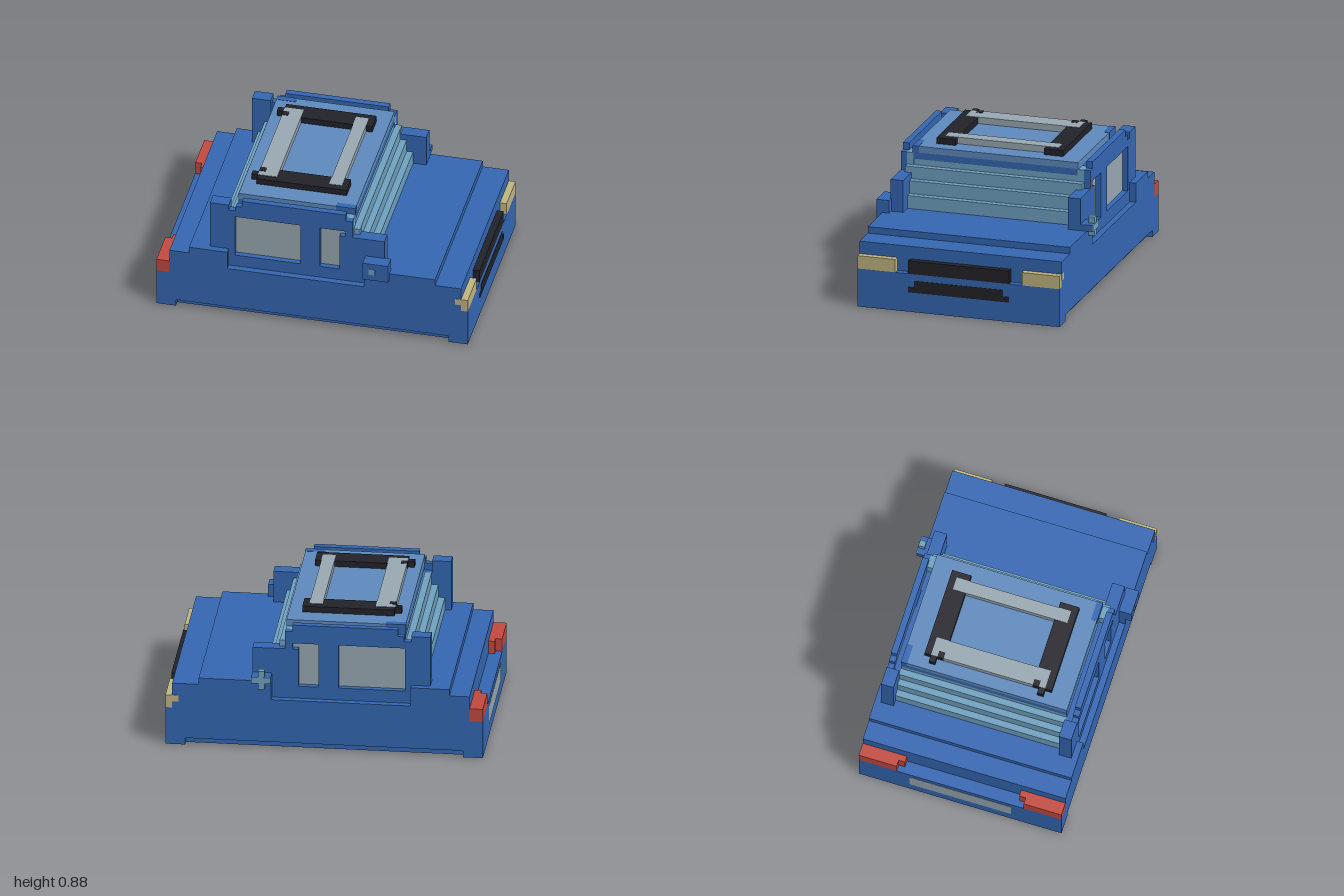
import * as THREE from 'three';

const mat = (name, color) => {
  const m = new THREE.MeshStandardMaterial({ color });
  m.name = name;
  return m;
};
const blue = mat('body blue', 0x3568b4);
const roofBlue = mat('roof blue', 0x5f8cc0);
const glassBlue = mat('screen blue', 0x70a3c3);
const grey = mat('window grey', 0x9aaab4);
const black = mat('trim black', 0x22222a);
const cream = mat('lamp cream', 0xc2b882);
const red = mat('lamp red', 0xc54a40);

export function createModel() {
  const root = new THREE.Group();

  // Box given by its limits on each axis
  function box(name, m, x0, x1, y0, y1, z0, z1) {
    const mesh = new THREE.Mesh(new THREE.BoxGeometry(x1 - x0, y1 - y0, z1 - z0), m);
    mesh.position.set((x0 + x1) / 2, (y0 + y1) / 2, (z0 + z1) / 2);
    mesh.name = name;
    root.add(mesh);
  }
  // The same box on both sides of the car
  function pair(name, m, x0, x1, y0, y1, z0, z1) {
    box(name + 'Left', m, x0, x1, y0, y1, z0, z1);
    box(name + 'Right', m, x0, x1, y0, y1, -z1, -z0);
  }
  const toPoints = list => list.map(([x, y]) => new THREE.Vector2(x, y));
  // Side profile (x, y) extruded from z0 to z1
  function profile(name, m, outline, holes, z0, z1) {
    const shape = new THREE.Shape(toPoints(outline));
    for (const h of holes) shape.holes.push(new THREE.Path(toPoints(h)));
    const geo = new THREE.ExtrudeGeometry(shape, { depth: z1 - z0, bevelEnabled: false });
    const mesh = new THREE.Mesh(geo, m);
    mesh.position.z = z0;
    mesh.name = name;
    root.add(mesh);
  }

  // Body with stepped ends, door recess and sill recess
  profile('body', blue, [
    [-1, 0], [-0.875, 0], [-0.875, 0.045], [0.875, 0.045], [0.875, 0], [1, 0],
    [1, 0.25], [0.957, 0.25], [0.957, 0.417], [0.79, 0.417], [0.79, 0.46],
    [0.333, 0.46], [0.333, 0.335], [-0.545, 0.335], [-0.545, 0.46],
    [-0.79, 0.46], [-0.79, 0.417], [-0.917, 0.417], [-0.917, 0.25], [-1, 0.25],
  ], [], -0.665, 0.665);
  box('floor', blue, -0.875, 0.875, 0, 0.1, -0.625, 0.625);
  box('cabinBase', blue, -0.545, 0.333, 0.3, 0.46, -0.58, 0.58);

  // Cabin side walls with window openings
  const wall = [
    [-0.665, 0.335], [0.455, 0.335], [0.455, 0.67], [0.25, 0.67], [0.25, 0.79],
    [0.205, 0.79], [0.205, 0.835], [-0.46, 0.835], [-0.46, 0.79], [-0.5, 0.79],
    [-0.5, 0.755], [-0.545, 0.755], [-0.545, 0.793], [-0.665, 0.793],
  ];
  const windows = [
    [[-0.505, 0.417], [-0.505, 0.71], [-0.085, 0.71], [-0.085, 0.417]],
    [[0.04, 0.417], [0.04, 0.71], [0.205, 0.71], [0.205, 0.67], [0.167, 0.67], [0.167, 0.417]],
  ];
  profile('sideWallLeft', blue, wall, windows, 0.583, 0.624);
  profile('sideWallRight', blue, wall, windows, -0.624, -0.583);
  pair('rearPillar', blue, -0.665, -0.545, 0.42, 0.793, 0.542, 0.6);
  pair('innerWall', blue, -0.545, 0.17, 0.42, 0.71, 0.542, 0.58);
  pair('frontPillar', blue, 0.25, 0.455, 0.42, 0.67, 0.542, 0.6);
  pair('rearWindow', grey, -0.505, -0.085, 0.417, 0.71, 0.58, 0.589);
  pair('frontWindow', grey, 0.04, 0.206, 0.417, 0.71, 0.58, 0.589);

  // Stepped windscreen and rear screen
  for (let i = 0; i < 4; i++) {
    const top = [0.545, 0.63, 0.71, 0.76][i];
    box('screenStep' + i, glassBlue, -0.625 + i * 0.042, 0.37 - i * 0.041, 0.44, top, -0.543, 0.543);
  }
  pair('screenEdge', glassBlue, 0.167, 0.25, 0.46, 0.79, 0.54, 0.583);
  pair('screenEdgeFront', glassBlue, 0.25, 0.29, 0.46, 0.71, 0.54, 0.583);

  // Roof: blue rim below, lighter panel above
  box('roofRim', blue, -0.5, 0.25, 0.75, 0.793, -0.543, 0.543);
  box('roofPanel', roofBlue, -0.5, 0.25, 0.793, 0.835, -0.543, 0.543);
  box('roofCornerFront', blue, 0.125, 0.252, 0.794, 0.837, 0.505, 0.545);
  box('roofCornerRear', blue, -0.502, -0.375, 0.794, 0.837, -0.545, -0.505);

  // Roof rack
  pair('rackRail', black, -0.415, 0.165, 0.835, 0.875, 0.292, 0.417);
  pair('rackPeg', black, -0.457, -0.415, 0.835, 0.875, 0.335, 0.375);
  box('rackBarRear', grey, -0.415, -0.292, 0.835, 0.878, -0.375, 0.375);
  box('rackBarFront', grey, 0.042, 0.125, 0.835, 0.878, -0.375, 0.375);
  pair('rackClip', black, -0.417, -0.375, 0.84, 0.88, 0.292, 0.333);

  // Mirrors
  box('mirrorLeft', blue, 0.333, 0.497, 0.42, 0.543, 0.62, 0.705);
  box('mirrorLeftMark', glassBlue, 0.372, 0.412, 0.463, 0.505, 0.7, 0.708);
  box('mirrorRightArm', blue, 0.333, 0.455, 0.46, 0.5, -0.665, -0.6);
  box('mirrorRight', blue, 0.333, 0.455, 0.46, 0.502, -0.703, -0.665);
  box('mirrorRightCross', glassBlue, 0.372, 0.413, 0.42, 0.543, -0.705, -0.665);
  box('mirrorRightFace', glassBlue, 0.333, 0.455, 0.46, 0.502, -0.708, -0.702);

  // Front lamps and grilles
  pair('headlamp', cream, 0.957, 1, 0.25, 0.335, 0.417, 0.665);
  pair('headlampSide', cream, 0.917, 0.957, 0.293, 0.335, 0.66, 0.667);
  box('grille', black, 0.957, 1, 0.25, 0.335, -0.333, 0.333);
  box('lowerGrilleBottom', black, 0.996, 1.002, 0.128, 0.165, -0.333, 0.333);
  box('lowerGrilleTop', black, 0.996, 1.002, 0.165, 0.207, -0.292, 0.292);

  // Rear lamps and plate
  pair('rearLamp', red, -1, -0.917, 0.25, 0.335, 0.417, 0.665);
  pair('rearLampInner', red, -0.958, -0.917, 0.25, 0.335, 0.375, 0.417);
  box('rearPlate', grey, -1.002, -0.996, 0.085, 0.21, -0.333, 0.333);

  return root;
}
